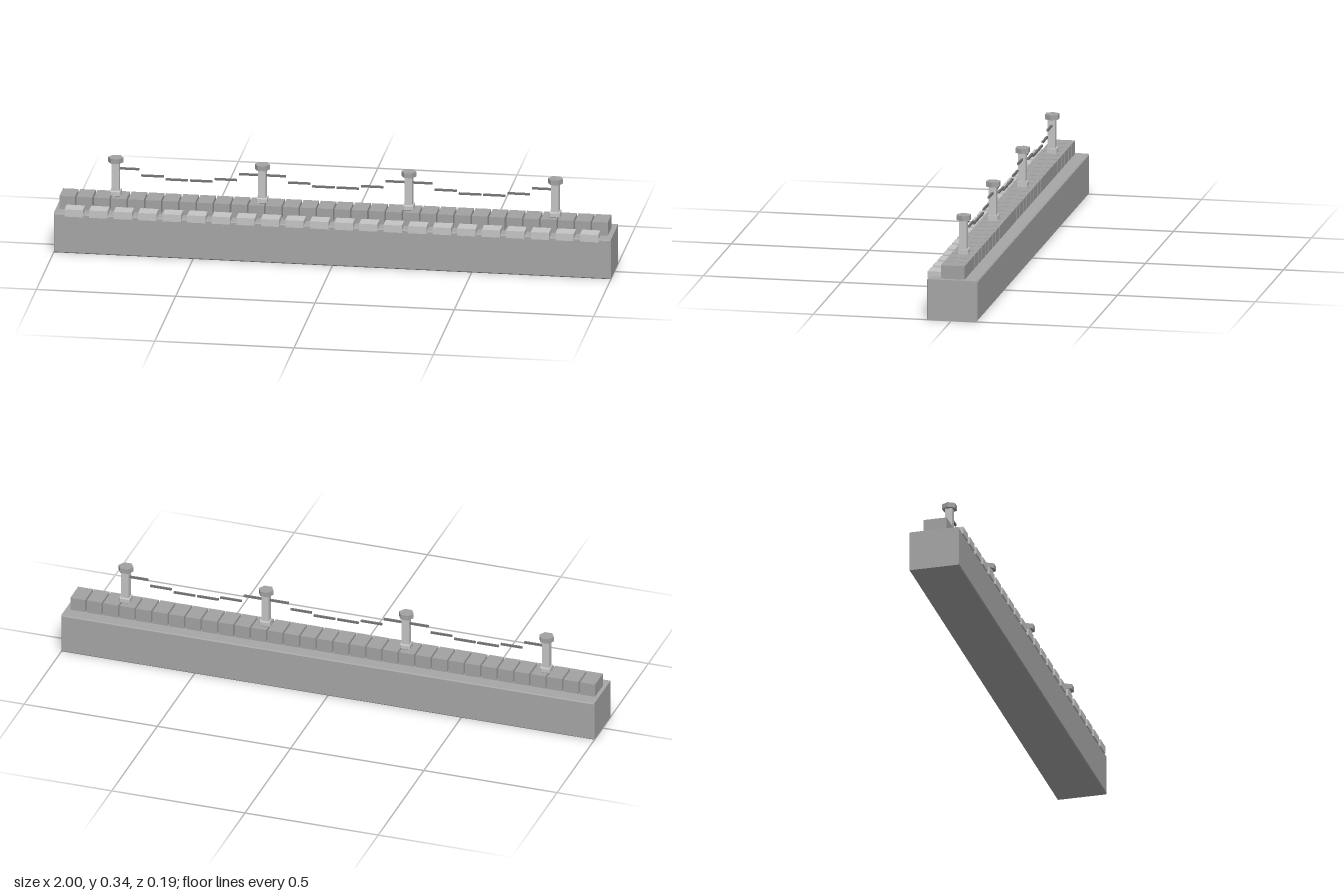
import * as THREE from 'three';

const mat = (name, color) => {
  const m = new THREE.MeshStandardMaterial({ color });
  m.name = name;
  return m;
};

// Box with chamfered edges, centred on the origin
function bevelBox(w, h, d, b) {
  const x = w / 2 - b, y = h / 2 - b;
  const s = new THREE.Shape([[-x, -y], [x, -y], [x, y], [-x, y]].map(p => new THREE.Vector2(...p)));
  const g = new THREE.ExtrudeGeometry(s, {
    depth: d - 2 * b, bevelEnabled: true, bevelSize: b, bevelThickness: b, bevelSegments: 1,
  });
  return g.translate(0, 0, b - d / 2);
}

export function createModel() {
  const wallGrey = mat('wall grey', 0xa6a6a6);
  const stoneGrey = mat('stone grey', 0xa2a2a2);
  const paleStone = mat('pale stone', 0xc4c4c4);
  const chainGrey = mat('chain grey', 0x757575);

  const root = new THREE.Group();
  root.name = 'quayWall';
  const add = (parent, name, geo, material, x, y, z) => {
    const m = new THREE.Mesh(geo, material);
    m.name = name;
    m.position.set(x, y, z);
    parent.add(m);
    return m;
  };

  // Long wall body
  add(root, 'wallBody', bevelBox(2, 0.148, 0.183, 0.004), wallGrey, 0, 0.074, -0.0025);

  // Rows of stones along the top
  const row = (name, count, pitch, w, h, d, material, y, z) => {
    const group = new THREE.Group();
    group.name = name + 'Row';
    const geo = new THREE.BoxGeometry(w, h, d);
    for (let i = 0; i < count; i++) {
      add(group, name, geo, material, (i - (count - 1) / 2) * pitch - 0.002, y, z);
    }
    root.add(group);
  };
  row('copingStone', 32, 0.0617, 0.056, 0.05, 0.086, stoneGrey, 0.172, -0.002);
  row('edgeStone', 22, 0.0881, 0.066, 0.027, 0.056, paleStone, 0.1525, 0.067);

  // Posts with foot, shaft and six-sided cap
  const span = 0.526, postZ = -0.002;
  const footGeo = bevelBox(0.038, 0.02, 0.038, 0.003);
  const shaftGeo = new THREE.BoxGeometry(0.027, 0.107, 0.027);
  const capGeo = new THREE.CylinderGeometry(0.0275, 0.0275, 0.018, 6).rotateY(Math.PI / 2).toNonIndexed();
  capGeo.computeVertexNormals();
  const postX = i => (i - 1.5) * span - 0.001;
  for (let i = 0; i < 4; i++) {
    const post = new THREE.Group();
    post.name = 'post';
    post.position.set(postX(i), 0, postZ);
    add(post, 'postFoot', footGeo, paleStone, 0, 0.206, 0);
    add(post, 'postShaft', shaftGeo, paleStone, 0, 0.2675, 0);
    add(post, 'postCap', capGeo, stoneGrey, 0, 0.329, 0);
    root.add(post);
  }

  // Sagging chains: six level links between each pair of posts
  const linkGeo = new THREE.BoxGeometry(0.08, 0.007, 0.007);
  const heights = [0.297, 0.274, 0.264, 0.264, 0.274, 0.297];
  for (let i = 0; i < 3; i++) {
    const chain = new THREE.Group();
    chain.name = 'chain';
    heights.forEach((y, k) => {
      add(chain, 'chainLink', linkGeo, chainGrey, postX(i) + (k + 0.5) * span / 6, y, postZ);
    });
    root.add(chain);
  }
  return root;
}
